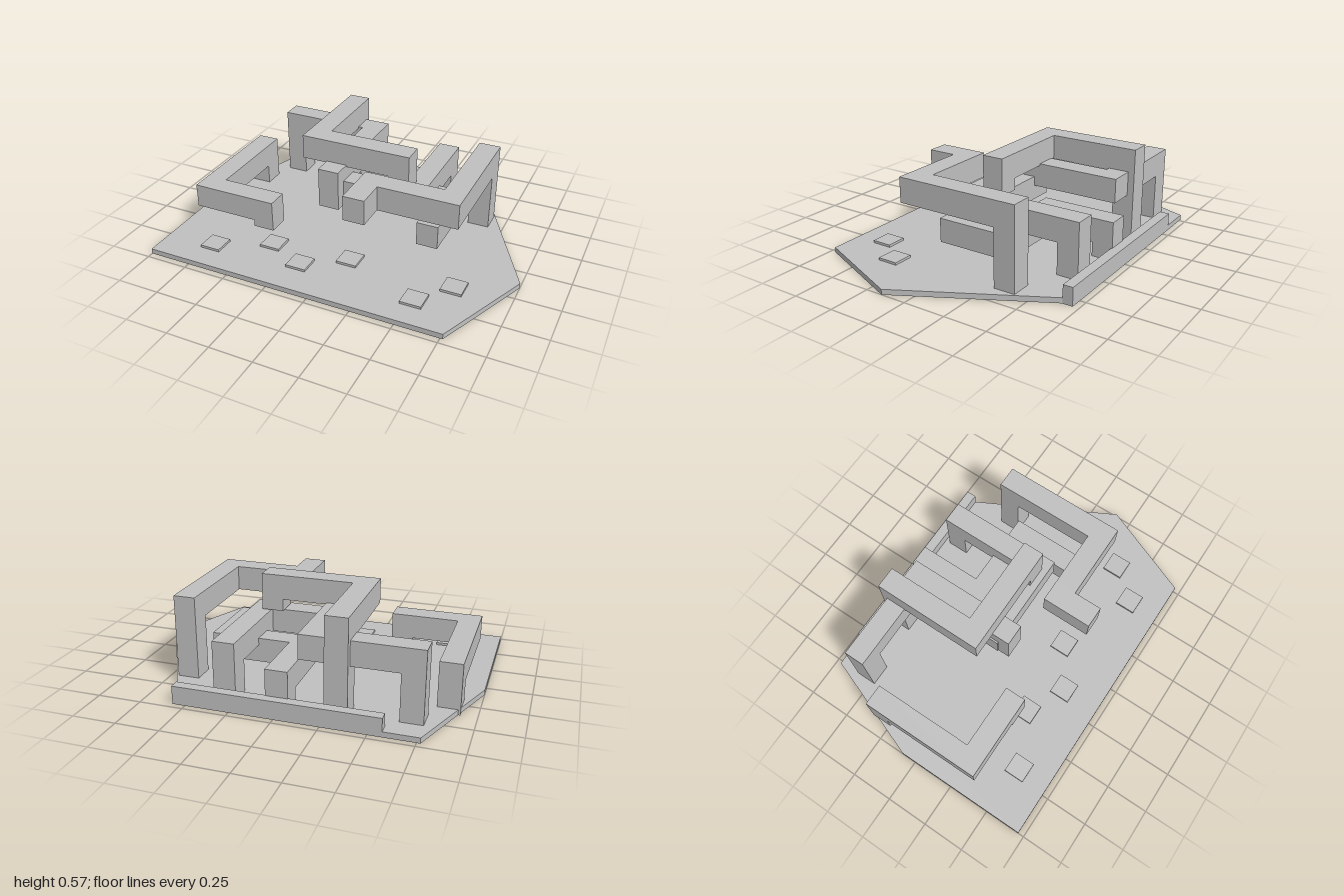
import * as THREE from 'three';

export function createModel() {
  const model = new THREE.Group();
  const grey = new THREE.MeshStandardMaterial({ color: 0xc0c0c0, side: THREE.DoubleSide });
  grey.name = 'plain grey';

  // Box given by its bounds on each axis
  function block(parent, name, [x0, x1], [y0, y1], [z0, z1]) {
    const mesh = new THREE.Mesh(new THREE.BoxGeometry(x1 - x0, y1 - y0, z1 - z0), grey);
    mesh.position.set((x0 + x1) / 2, (y0 + y1) / 2, (z0 + z1) / 2);
    mesh.name = name;
    parent.add(mesh);
  }

  // Base: a six-sided sheet with a skirt, open underneath
  const top = 0.031;
  const outline = [[-1, 0.715], [0.765, 0.715], [1, 0.15], [0.54, -0.715], [-0.77, -0.715], [-1, -0.085]];
  const base = new THREE.Group();
  base.name = 'base';
  const sheet = new THREE.Mesh(
    new THREE.ShapeGeometry(new THREE.Shape(outline.map(([x, z]) => new THREE.Vector2(x, -z)))), grey);
  sheet.rotation.x = -Math.PI / 2;
  sheet.position.y = top;
  sheet.name = 'baseTop';
  base.add(sheet);
  outline.forEach(([x, z], i) => {
    const [nx, nz] = outline[(i + 1) % outline.length];
    const wall = new THREE.Mesh(new THREE.PlaneGeometry(Math.hypot(nx - x, nz - z), top), grey);
    wall.position.set((x + nx) / 2, top / 2, (z + nz) / 2);
    wall.rotation.y = -Math.atan2(nz - z, nx - x);
    wall.name = 'baseSkirt';
    base.add(wall);
  });
  model.add(base);

  // Low wall along the back edge
  block(model, 'backWall', [-0.577, 0.573], [0, 0.105], [-0.715, -0.657]);

  // Square pads in front
  for (const [x, z] of [[-0.695, 0.52], [-0.39, 0.372], [-0.16, 0.485], [0.077, 0.335], [0.535, 0.52], [0.69, 0.335]])
    block(model, 'pad', [x - 0.06, x + 0.06], [top, 0.045], [z - 0.06, z + 0.06]);

  // Bent arms: a post at the back, then beams that turn along x and z
  const arms = {
    outerRightArm: [
      [[-0.91, -0.785], [0, 0.15], [-0.365, -0.24]],
      [[-0.91, -0.785], [0.15, 0.29], [-0.365, 0.36]],
      [[-0.785, -0.4], [0.15, 0.29], [0.235, 0.36]],
      [[-0.525, -0.4], [0.11, 0.15], [0.235, 0.36]],
    ],
    innerRightArm: [
      [[-0.76, -0.635], [0, 0.3], [-0.59, -0.47]],
      [[-0.76, -0.22], [0.3, 0.44], [-0.59, -0.47]],
      [[-0.22, -0.095], [0.3, 0.44], [-0.59, 0.13]],
      [[-0.22, -0.095], [0.2, 0.3], [0.005, 0.13]],
    ],
    highArm: [
      [[-0.373, -0.247], [0, 0.43], [-0.627, -0.5]],
      [[-0.373, -0.247], [0.43, 0.573], [-0.627, 0.022]],
      [[-0.247, 0.29], [0.43, 0.573], [-0.103, 0.022]],
      [[0.165, 0.29], [0.36, 0.43], [-0.103, 0.022]],
    ],
    lowArm: [
      [[-0.065, 0.06], [0, 0.115], [-0.663, -0.54]],
      [[-0.065, 0.06], [0.115, 0.255], [-0.663, -0.165]],
      [[0.06, 0.395], [0.115, 0.255], [-0.29, -0.165]],
      [[0.395, 0.52], [0.115, 0.255], [-0.29, 0.148]],
    ],
    middleArm: [
      [[0.242, 0.368], [0, 0.215], [-0.627, -0.5]],
      [[0.242, 0.368], [0.215, 0.355], [-0.627, 0.06]],
      [[-0.23, 0.242], [0.215, 0.355], [-0.065, 0.06]],
    ],
    outerLeftArm: [
      [[0.55, 0.675], [0, 0.365], [-0.44, -0.315]],
      [[0.55, 0.675], [0.365, 0.51], [-0.44, 0.285]],
      [[0.215, 0.55], [0.365, 0.51], [0.16, 0.285]],
      [[0.09, 0.215], [0.365, 0.51], [0.16, 0.45]],
    ],
  };
  const names = ['post', 'rearBeam', 'crossBeam', 'end'];
  for (const [name, parts] of Object.entries(arms)) {
    const arm = new THREE.Group();
    arm.name = name;
    parts.forEach((bounds, i) => block(arm, names[i], ...bounds));
    model.add(arm);
  }
  return model;
}
